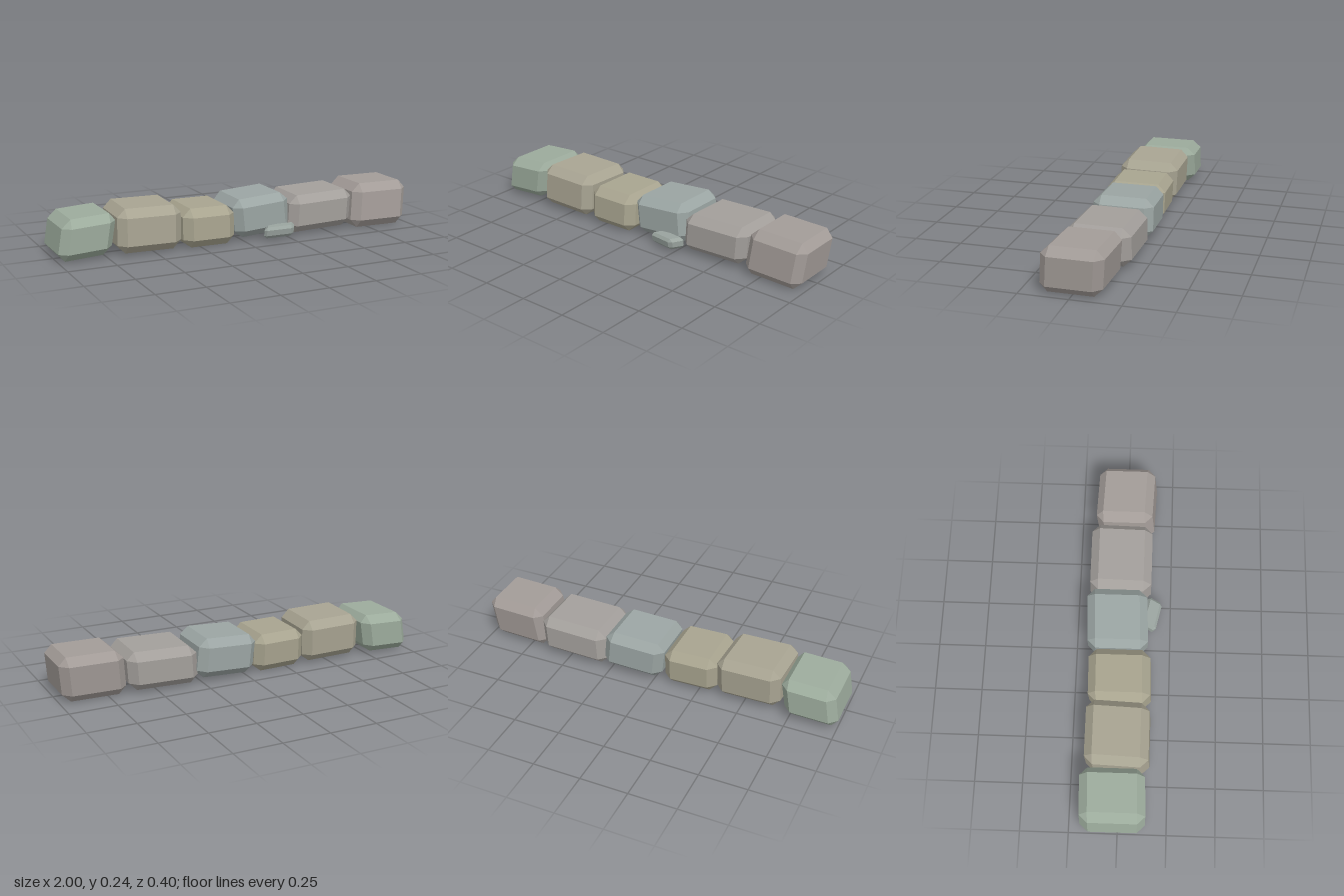
import * as THREE from 'three';
import { ConvexGeometry } from 'three/addons/geometries/ConvexGeometry.js';

// Chamfered, skewed stone that fills the box min..max.
// skew: xy = x lean with height, yx = top tilt along x, zx = z drift along x, zy = z lean with height, xz = x drift along z
function stoneGeometry(min, max, bevel, skew) {
  const { xy = 0, yx = 0, zx = 0, zy = 0, xz = 0 } = skew;
  const half = min.map((m, i) => (max[i] - m) / 2);
  const points = [];
  for (const sx of [-1, 1]) for (const sy of [-1, 1]) for (const sz of [-1, 1]) {
    const s = [sx, sy, sz];
    // three points per corner, one on each neighbouring face
    for (let face = 0; face < 3; face++) {
      const [x, y, z] = s.map((k, i) => k * (half[i] - (i === face ? 0 : bevel)));
      points.push(new THREE.Vector3(x + xy * y + xz * z, y + yx * x, z + zx * x + zy * y));
    }
  }
  // fit the skewed stone back into its box
  const lo = new THREE.Vector3(...min);
  const size = new THREE.Vector3(...max).sub(lo);
  const box = new THREE.Box3().setFromPoints(points);
  const scale = size.divide(box.getSize(new THREE.Vector3()));
  points.forEach((p) => p.sub(box.min).multiply(scale).add(lo));
  return new ConvexGeometry(points);
}

export function createModel() {
  const group = new THREE.Group();
  group.name = 'stoneRow';
  const stones = [
    { name: 'greenStone', min: [-1, 0.005, -0.2], max: [-0.7, 0.225, 0.14], color: 0x9cab9c, skew: { xy: 0.17, yx: 0.05, zx: -0.03 } },
    { name: 'wideTanStone', min: [-0.7, 0.01, -0.18], max: [-0.345, 0.24, 0.155], color: 0xa8a492, skew: { xy: 0.03, yx: -0.015, zy: -0.05, xz: -0.04 } },
    { name: 'lowTanStone', min: [-0.345, 0.0, -0.18], max: [-0.055, 0.205, 0.155], color: 0xa8a48f, skew: { yx: -0.01, zx: -0.02, zy: -0.05 } },
    { name: 'blueGreyStone', min: [-0.055, 0.015, -0.2], max: [0.285, 0.235, 0.13], color: 0x9ba5a3, skew: { xy: -0.1, yx: 0.06, zx: -0.04 } },
    { name: 'longGreyStone', min: [0.27, 0.01, -0.19], max: [0.66, 0.22, 0.14], color: 0xa39f9b, skew: { xy: 0.06, yx: 0.03, xz: -0.02 } },
    { name: 'endStone', min: [0.655, 0.0, -0.17], max: [1, 0.24, 0.16], color: 0xa39c98, skew: { xy: 0.1, zx: 0.04, zy: -0.1 } },
    // small chip leaning on the front of the row
    { name: 'smallChip', min: [0.1, 0.01, 0.09], max: [0.285, 0.08, 0.2], color: 0x9ba5a0, bevel: 0.018, skew: { yx: 0.06, zx: 0.28, zy: 0.25, xz: -0.45 } },
  ];
  for (const { name, min, max, color, bevel = 0.043, skew } of stones) {
    const material = new THREE.MeshStandardMaterial({ color, flatShading: true });
    const mesh = new THREE.Mesh(stoneGeometry(min, max, bevel, skew), material);
    mesh.name = name;
    group.add(mesh);
  }
  return group;
}
